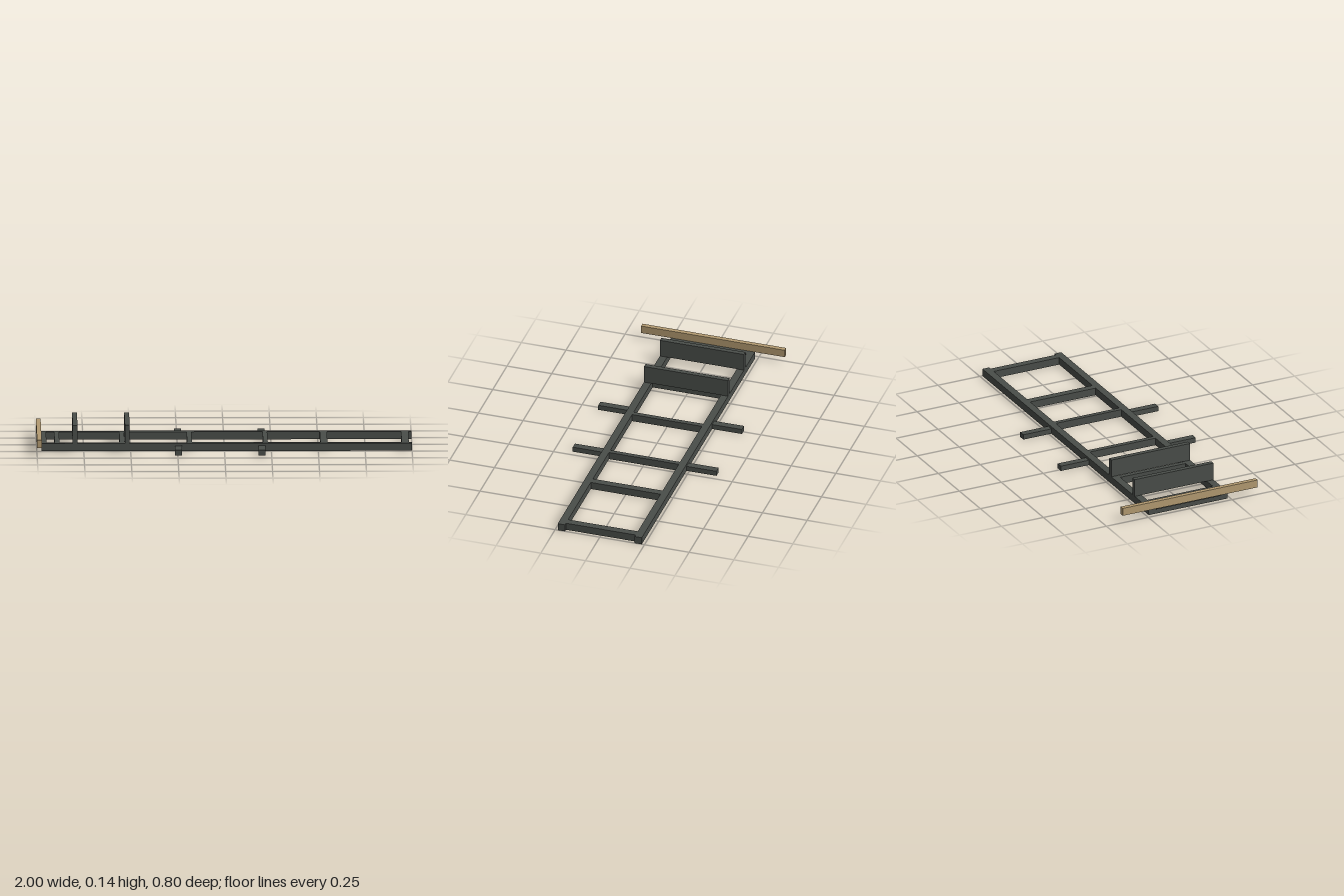
import * as THREE from 'three';

export function createModel() {
  const model = new THREE.Group();
  const steel = new THREE.MeshStandardMaterial({ name: 'dark steel', color: 0x4a4e4a });
  const wood = new THREE.MeshStandardMaterial({ name: 'tan wood', color: 0xb39b71 });

  // Box given by its lower and upper limits on each axis
  function bar(name, [x0, x1], [y0, y1], [z0, z1], material = steel) {
    const mesh = new THREE.Mesh(new THREE.BoxGeometry(x1 - x0, y1 - y0, z1 - z0), material);
    mesh.position.set((x0 + x1) / 2, (y0 + y1) / 2, (z0 + z1) / 2);
    mesh.name = name;
    model.add(mesh);
  }

  const railTop = 0.041, railIn = 0.195, railOut = 0.235, halfWidth = 0.402;

  // Long side rails and the outriggers fixed to them
  for (const s of [-1, 1]) {
    const side = s > 0 ? 'front' : 'back';
    const across = (a, b) => (s > 0 ? [a, b] : [-b, -a]);
    bar(side + 'Rail', [-0.975, 1], [0, railTop], across(railIn, railOut));
    for (const x of [-0.246, 0.199]) {
      bar(side + 'Outrigger', [x - 0.019, x + 0.019], [0, 0.028], across(railOut, halfWidth));
    }
  }

  // Cross members between the rails
  const members = [
    [-0.975, -0.948], [-0.905, -0.879], [-0.558, -0.532], [-0.199, -0.173],
    [0.206, 0.231], [0.511, 0.549], [0.944, 0.983],
  ];
  for (const span of members) bar('crossMember', span, [0, railTop], [-railIn, railIn]);

  // Small lip under the end beam
  bar('endLip', [-0.985, -0.975], [0.029, railTop], [-railIn, railIn]);

  // Upright panels standing on the rails
  for (const x of [-0.796, -0.518]) {
    bar('uprightPanel', [x - 0.013, x + 0.013], [railTop, 0.139], [-railOut, railOut]);
  }

  // Wooden end beam
  bar('endBeam', [-1, -0.975], [railTop, 0.084], [-halfWidth, halfWidth], wood);

  return model;
}
